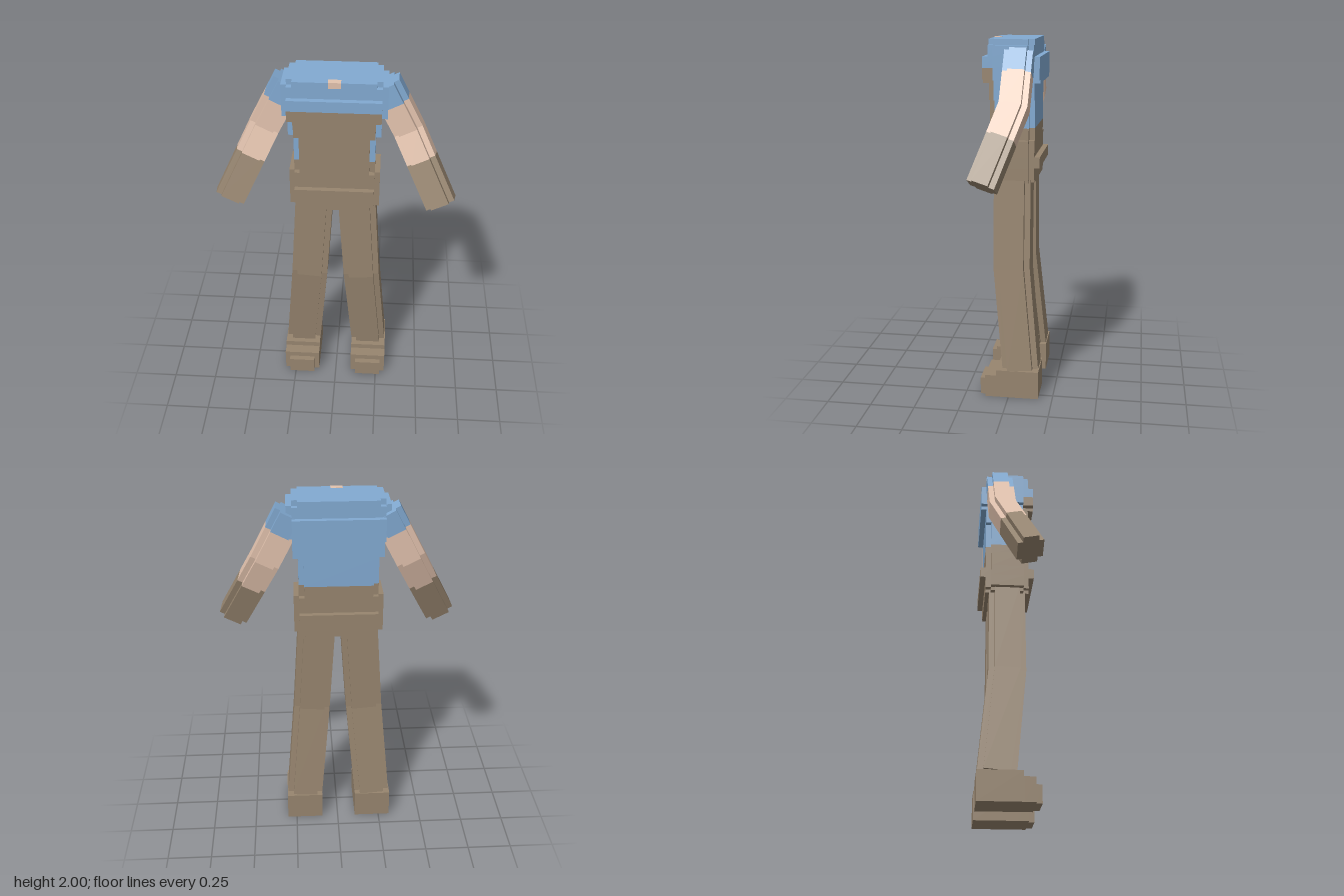
import * as THREE from 'three';

const material = (name, color) => {
  const m = new THREE.MeshStandardMaterial({ color, flatShading: true });
  m.name = name;
  return m;
};

export function createModel() {
  const model = new THREE.Group();
  model.name = 'blockyFigure';
  const blue = material('shirtBlue', 0x82aad2);
  const skin = material('skin', 0xe3c3ae);
  const brown = material('overallsBrown', 0x97856f);

  const box = (parent, name, mat, x0, x1, y0, y1, z0, z1) => {
    const mesh = new THREE.Mesh(new THREE.BoxGeometry(x1 - x0, y1 - y0, z1 - z0), mat);
    mesh.position.set((x0 + x1) / 2, (y0 + y1) / 2, (z0 + z1) / 2);
    mesh.name = name;
    parent.add(mesh);
  };

  // Torso: stacked layers, each a core with narrower front and back slabs
  const torso = new THREE.Group();
  torso.name = 'torso';
  model.add(torso);
  const cx = -0.009, back = -0.1, front = 0.085;
  const layers = [ // y0, y1, half width, slab depth, core, front, back
    [1.97, 2.0, 0.243, 0.03, blue, blue, blue],
    [1.91, 1.97, 0.272, 0.03, blue, blue, blue],
    [1.85, 1.91, 0.272, 0.06, blue, blue, blue],
    [1.79, 1.85, 0.272, 0.06, blue, brown, blue],
    [1.77, 1.79, 0.243, 0.06, blue, brown, blue],
    [1.68, 1.77, 0.243, 0.03, blue, brown, blue],
    [1.53, 1.68, 0.215, 0.03, blue, brown, blue],
    [1.465, 1.53, 0.215, 0.03, brown, brown, brown],
    [1.375, 1.465, 0.243, 0.03, brown, brown, brown],
    [1.315, 1.375, 0.243, 0.06, brown, brown, brown],
    [1.25, 1.315, 0.243, 0.03, brown, brown, brown],
    [1.23, 1.25, 0.215, 0.03, brown, brown, brown],
  ];
  for (const [y0, y1, w, d, core, fm, bm] of layers) {
    const s = w - 0.03;
    box(torso, 'torsoCore', core, cx - w, cx + w, y0, y1, back, front);
    box(torso, 'torsoFront', fm, cx - s, cx + s, y0, y1, front, front + d);
    box(torso, 'torsoBack', bm, cx - s, cx + s, y0, y1, back - d, back);
  }
  box(torso, 'neckOpening', skin, -0.04, 0.025, 1.97, 2.002, 0.08, 0.117);

  // Notched rectangle cross-section, counter-clockwise
  const notched = (a, b, n) => [
    [a, -b + n], [a, b - n], [a - n, b - n], [a - n, b], [-a + n, b], [-a + n, b - n],
    [-a, b - n], [-a, -b + n], [-a + n, -b + n], [-a + n, -b], [a - n, -b], [a - n, -b + n],
  ];

  // Limb: the cross-section swept along a bent path, one mesh per segment
  const limb = (name, path, profile, mats, names) => {
    const group = new THREE.Group();
    group.name = name;
    const pts = path.map(p => new THREE.Vector3(...p));
    const dirs = pts.slice(1).map((p, i) => p.clone().sub(pts[i]).normalize());
    const rings = pts.map((p, i) => {
      const before = dirs[Math.max(i - 1, 0)], after = dirs[Math.min(i, dirs.length - 1)];
      const d = before.clone().add(after).normalize();
      const u = new THREE.Vector3(0, 0, 1).cross(d).normalize();
      const v = d.clone().cross(u).divideScalar(d.dot(before)); // mitred bend
      return profile.map(([a, b]) => p.clone().addScaledVector(u, a).addScaledVector(v, b));
    });
    mats.forEach((mat, s) => {
      const pos = [];
      const tri = (...vs) => vs.forEach(q => pos.push(q.x, q.y, q.z));
      const A = rings[s], B = rings[s + 1];
      A.forEach((_, i) => {
        const j = (i + 1) % A.length;
        tri(A[i], A[j], B[j]);
        tri(A[i], B[j], B[i]);
        if (s === 0) tri(pts[0], A[j], A[i]);
        if (s === mats.length - 1) tri(pts[s + 1], B[i], B[j]);
      });
      const geo = new THREE.BufferGeometry();
      geo.setAttribute('position', new THREE.Float32BufferAttribute(pos, 3));
      geo.computeVertexNormals();
      const mesh = new THREE.Mesh(geo, mat);
      mesh.name = names[s];
      group.add(mesh);
    });
    model.add(group);
  };

  for (const [side, s] of [['left', 1], ['right', -1]]) {
    const at = (x, y, z) => [-0.006 + s * x, y, z];

    // Arms: sleeve, bare elbow, glove
    limb(side + 'Arm', [
      at(0.249, 1.926, -0.057), at(0.303, 1.822, -0.053), at(0.384, 1.665, -0.047),
      at(0.461, 1.512, 0.008), at(0.576, 1.285, 0.09),
    ], notched(0.081, 0.075, 0.03), [blue, skin, skin, brown],
    ['sleeve', 'upperArm', 'forearm', 'glove']);

    // Legs, bent slightly at the knee
    limb(side + 'Leg', [
      at(0.118, 1.25, -0.007), at(0.151, 0.74, -0.007), at(0.202, 0.155, -0.064),
    ], notched(0.103, 0.102, 0.032), [brown, brown], ['thigh', 'shin']);

    // Stepped boots
    const boot = new THREE.Group();
    boot.name = side + 'Boot';
    model.add(boot);
    const bx = -0.006 + s * 0.204;
    box(boot, 'bootHeel', brown, bx - 0.105, bx + 0.105, 0, 0.162, -0.17, 0.07);
    box(boot, 'bootInstep', brown, bx - 0.105, bx + 0.105, 0, 0.13, 0.07, 0.132);
    box(boot, 'bootToe', brown, bx - 0.076, bx + 0.076, 0, 0.098, 0.132, 0.164);
  }
  return model;
}
